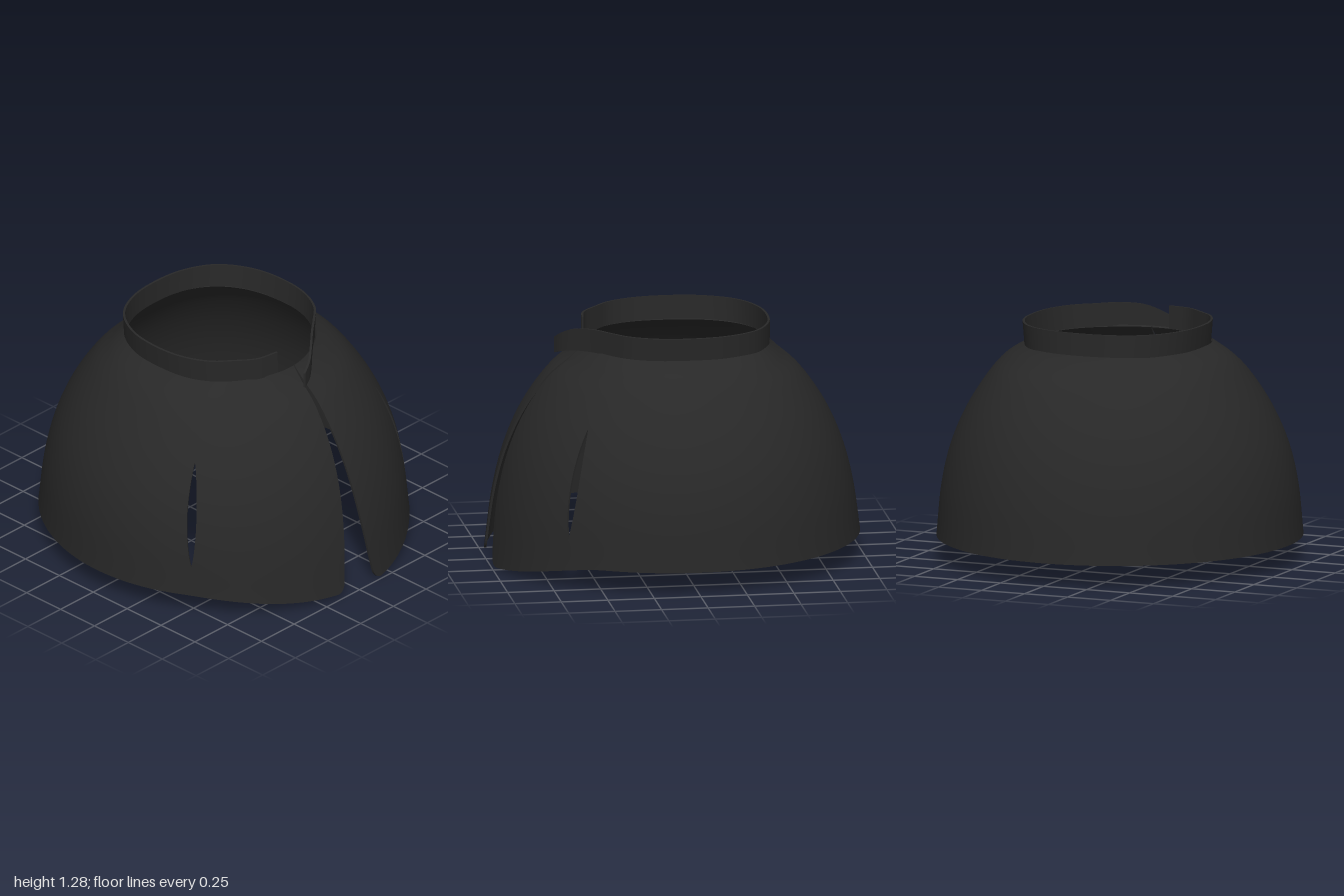
import * as THREE from 'three';
import { mergeGeometries, mergeVertices } from 'three/addons/utils/BufferGeometryUtils.js';

const TOP = 1.17, HEM = 0.13, THICK = 0.012;
const lerp = THREE.MathUtils.lerp;
const rad = THREE.MathUtils.degToRad;

// Grid surface from point(u, v); u runs to the wearer's left, v runs down.
function grid(cols, rows, point) {
  const pos = [], index = [];
  for (let r = 0; r <= rows; r++)
    for (let c = 0; c <= cols; c++) pos.push(...point(c / cols, r / rows));
  for (let r = 0; r < rows; r++)
    for (let c = 0; c < cols; c++) {
      const a = r * (cols + 1) + c, b = a + cols + 1;
      index.push(a, b, a + 1, a + 1, b, b + 1);
    }
  const g = new THREE.BufferGeometry();
  g.setAttribute('position', new THREE.Float32BufferAttribute(pos, 3));
  g.setIndex(index);
  return g;
}

// Cloth thickness: an inner copy of the sheet plus a rim along every open edge.
function thicken(sheet) {
  sheet.computeVertexNormals();
  const p = sheet.attributes.position, n = sheet.attributes.normal, idx = sheet.index.array;
  const inner = sheet.clone();
  for (let i = 0; i < p.count; i++) {
    const nx = n.getX(i), ny = n.getY(i), nz = n.getZ(i);
    inner.attributes.position.setXYZ(i, p.getX(i) - nx * THICK, p.getY(i) - ny * THICK, p.getZ(i) - nz * THICK);
    inner.attributes.normal.setXYZ(i, -nx, -ny, -nz);
  }
  const flipped = [], edges = new Set(), rim = [];
  for (let i = 0; i < idx.length; i += 3) {
    flipped.push(idx[i], idx[i + 2], idx[i + 1]);
    for (let k = 0; k < 3; k++) edges.add(idx[i + k] + '_' + idx[i + (k + 1) % 3]);
  }
  inner.setIndex(flipped);
  const put = (attr, i) => rim.push(attr.getX(i), attr.getY(i), attr.getZ(i));
  const q = inner.attributes.position;
  for (const e of edges) {
    const [i, j] = e.split('_').map(Number);
    if (edges.has(j + '_' + i)) continue;
    put(p, j); put(p, i); put(q, i);
    put(p, j); put(q, i); put(q, j);
  }
  const rimGeo = new THREE.BufferGeometry();
  rimGeo.setAttribute('position', new THREE.Float32BufferAttribute(rim, 3));
  rimGeo.computeVertexNormals();
  return mergeGeometries([sheet.toNonIndexed(), inner.toNonIndexed(), rimGeo]);
}

// Cape profile: how far x and z have widened from neck to hem at height y.
const profile = new THREE.CatmullRomCurve3([
  [0, TOP, 0], [0.08, 1.15, 0.03], [0.245, 1.1, 0.13], [0.43, 1, 0.36], [0.69, 0.8, 0.64],
  [0.86, 0.6, 0.815], [0.95, 0.4, 0.92], [1, HEM, 1],
].map(a => new THREE.Vector3(...a)));

// Squarish neck outline, pulled forward a little at the throat.
function neck(theta) {
  const s = Math.sin(theta), c = Math.cos(theta), e = 2.4;
  const r = (Math.abs(s / 0.48) ** e + Math.abs(c / (c > 0 ? 0.44 : 0.515)) ** e) ** (-1 / e);
  const x = r * s;
  return [x, r * c + (c > 0 ? 0.05 * Math.exp(-((x / 0.25) ** 2)) : 0)];
}

function capePoint(theta, f) {
  const [nx, nz] = neck(theta);
  const c = Math.cos(theta), left = Math.sin(theta) > 0;
  const drop = (left ? 0.13 : 0.1) * Math.max(0, (c - 0.5) / 0.5) ** 1.6;
  const fall = (TOP - f.y) / (TOP - HEM);
  return [lerp(nx, 0.97 * Math.sin(theta), f.x), f.y - drop * fall ** 2, lerp(nz, c, f.z)];
}

// Front opening edge, with a rounded lower corner.
function openingEdge(f, side) {
  const v = (TOP - f.y) / (TOP - HEM);
  const k = Math.min(1, Math.max(0, (v - 0.95) / 0.05));
  const round = 1 - Math.sqrt(1 - k * k);
  const x = side > 0 ? 0.035 + 0.105 * v ** 3 + 0.06 * round : 0.03 - 0.14 * v - 0.04 * round;
  return Math.asin(x / lerp(0.49, 1, f.z));
}

// Arm slit: a narrow lens at a fixed angle.
function slitEdge(f, angle, side) {
  const s = (f.y - 0.3) / 0.54;
  const half = s > 0 && s < 1 ? 1.6 * Math.sin(Math.PI * s) ** 0.7 : 0;
  return rad(angle + side * half);
}

function capeGeometry() {
  const panels = [
    [40, f => openingEdge(f, 1), f => slitEdge(f, 47, -1)],
    [120, f => slitEdge(f, 47, 1), f => slitEdge(f, 303, -1)],
    [44, f => slitEdge(f, 303, 1), f => openingEdge(f, -1) + 2 * Math.PI],
  ].map(([cols, from, to]) => grid(cols, 64, (u, v) => {
    const f = profile.getPointAt(Math.min(1, 1 - (1 - v) ** 1.5));
    return capePoint(lerp(from(f), to(f), u), f);
  }));
  return thicken(mergeVertices(mergeGeometries(panels), 1e-4));
}

// Collar path in plan (x, sag, z): front tab, round the neck, to the right end.
const collarPath = new THREE.CatmullRomCurve3([
  [-0.03, 0.05, 0.63], [0.03, 0.03, 0.605], [0.1, 0.01, 0.55], [0.2, 0, 0.46], [0.3, 0, 0.375],
  [0.39, 0, 0.29], [0.455, 0, 0.16], [0.48, 0, 0], [0.455, 0, -0.22], [0.35, 0, -0.4],
  [0.19, 0, -0.49], [0, 0, -0.515], [-0.19, 0, -0.49], [-0.35, 0, -0.4], [-0.455, 0, -0.22],
  [-0.48, 0, 0], [-0.455, 0, 0.16], [-0.39, 0, 0.29], [-0.31, 0, 0.365], [-0.2, 0, 0.45],
  [-0.08, 0, 0.475],
].map(a => new THREE.Vector3(...a)));

function collarGeometry() {
  return thicken(grid(140, 6, (u, v) => {
    const p = collarPath.getPointAt(u);
    const flare = 1 + 0.025 * (1 - v);
    return [p.x * flare, lerp(1.29 - 1.8 * p.y, 1.165 - p.y, v), p.z];
  }));
}

export function createModel() {
  const model = new THREE.Group();
  model.name = 'cape';
  const cloth = new THREE.MeshStandardMaterial({ color: 0x282828, side: THREE.DoubleSide });
  const add = (name, geometry) => {
    const mesh = new THREE.Mesh(geometry, cloth);
    mesh.name = name;
    model.add(mesh);
  };
  add('capeBody', capeGeometry());
  add('collar', collarGeometry());
  return model;
}
